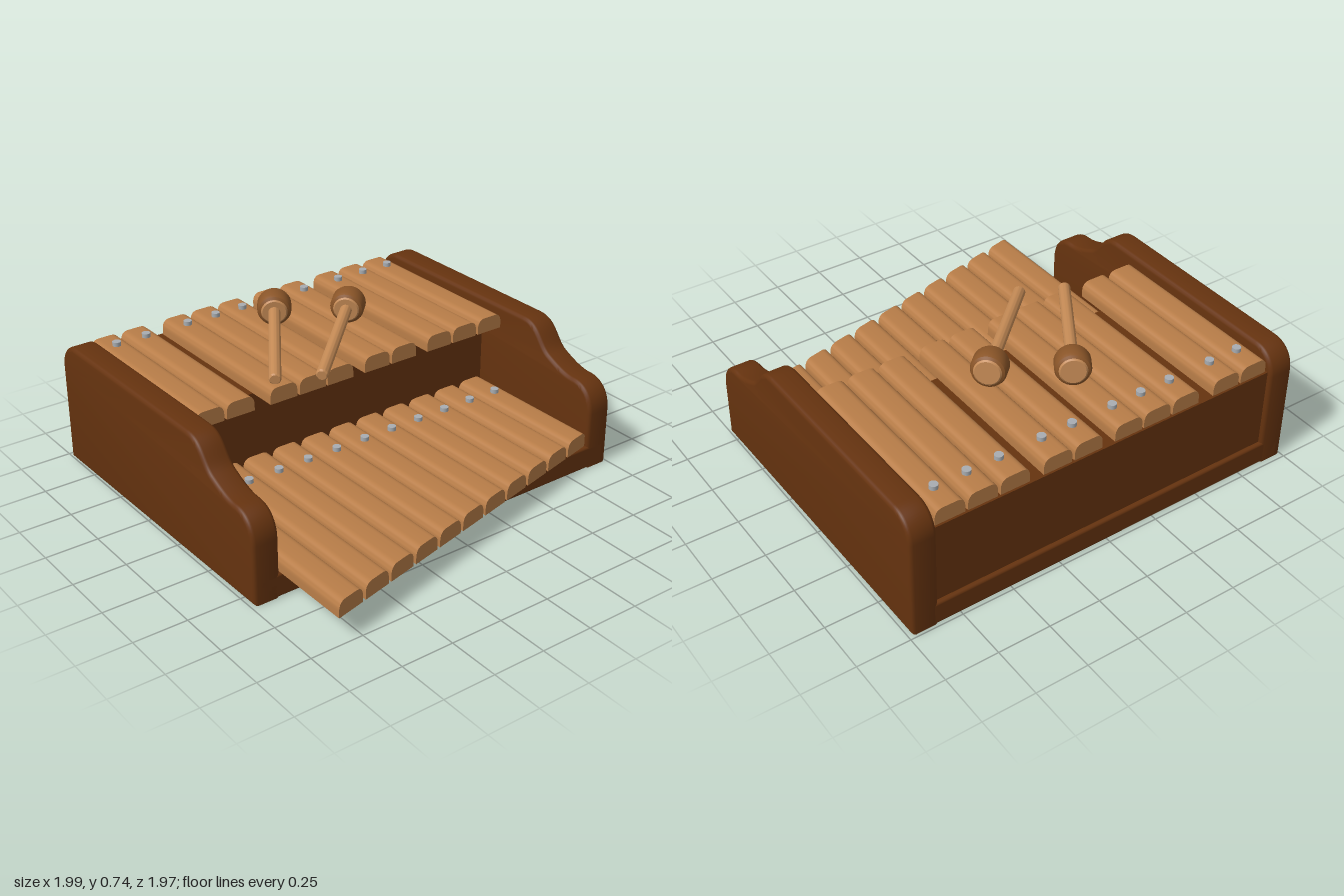
import * as THREE from 'three';
import { toCreasedNormals } from 'three/addons/utils/BufferGeometryUtils.js';
import { RoundedBoxGeometry } from 'three/addons/geometries/RoundedBoxGeometry.js';

const mat = (color) => new THREE.MeshStandardMaterial({ color });

export function createModel() {
  const model = new THREE.Group();
  const darkWood = mat(0x66330f), barWood = mat(0xb87d48);
  const malletWood = mat(0xc48a55), bandWood = mat(0x8a5528), steel = mat(0xa8adb2);

  const add = (parent, name, geometry, material, x = 0, y = 0, z = 0) => {
    const mesh = new THREE.Mesh(geometry, material);
    mesh.name = name;
    mesh.position.set(x, y, z);
    parent.add(mesh);
    return mesh;
  };

  // Side walls: stepped profile drawn as (z, y), extruded across x with soft edges
  const profile = new THREE.Shape();
  profile.moveTo(0.58, 0);
  profile.lineTo(0.58, 0.28);
  profile.bezierCurveTo(0.58, 0.36, 0.53, 0.42, 0.45, 0.42);
  profile.bezierCurveTo(0.39, 0.42, 0.33, 0.45, 0.28, 0.475);
  profile.bezierCurveTo(0.22, 0.51, 0.21, 0.605, 0.1, 0.605);
  profile.lineTo(-0.86, 0.605);
  profile.bezierCurveTo(-0.93, 0.605, -0.98, 0.55, -0.98, 0.48);
  profile.lineTo(-0.98, 0);
  profile.closePath();
  const bevel = 0.018, wall = 0.127;
  const wallGeo = toCreasedNormals(new THREE.ExtrudeGeometry(profile, {
    depth: wall - 2 * bevel, bevelEnabled: true, bevelThickness: bevel, bevelSize: bevel,
    bevelOffset: -bevel, bevelSegments: 3, curveSegments: 14,
  }).translate(0, 0, bevel - wall / 2).rotateY(-Math.PI / 2), 0.6);
  // the rotation maps profile x to +z
  for (const s of [-1, 1]) add(model, s > 0 ? 'leftWall' : 'rightWall', wallGeo, darkWood, s * 0.928);

  // Base slab and the raised block behind the lower row
  add(model, 'base', new RoundedBoxGeometry(1.94, 0.112, 1.56, 3, 0.012), darkWood, 0, 0.056, -0.2);
  add(model, 'raisedBlock', new THREE.BoxGeometry(1.75, 0.42, 0.78), darkWood, 0, 0.292, -0.57);

  // Tone bars: rounded-top section, front end cut at a slant
  const barGeometry = (x, z0, zEnd, slope) => {
    const w = 0.071, h = 0.075;
    const s = new THREE.Shape();
    s.moveTo(-w, 0);
    s.lineTo(w, 0);
    s.lineTo(w, 0.03);
    s.bezierCurveTo(w, 0.058, 0.058, h, 0.032, h);
    s.lineTo(-0.032, h);
    s.bezierCurveTo(-0.058, h, -w, 0.058, -w, 0.03);
    s.closePath();
    const g = new THREE.ExtrudeGeometry(s, { depth: 1, bevelEnabled: false, curveSegments: 7 });
    const p = g.attributes.position;
    for (let i = 0; i < p.count; i++) {
      const end = zEnd + slope * (x + p.getX(i));
      p.setZ(i, p.getZ(i) > 0.5 ? end : z0);
    }
    return toCreasedNormals(g, 0.6);
  };
  const screwGeo = new THREE.CylinderGeometry(0.02, 0.02, 0.04, 16);
  const addBar = (row, x, y, z0, zEnd, slope, screwZ) => {
    add(row, 'toneBar', barGeometry(x, z0, zEnd, slope), barWood, x, y, 0);
    add(row, 'screw', screwGeo, steel, x, y + 0.075, screwZ);
  };

  const lowerRow = new THREE.Group();
  lowerRow.name = 'lowerBars';
  for (let i = 0; i < 11; i++) addBar(lowerRow, -0.787 + i * 0.1585, 0.112, -0.18, 0.768, -0.24, 0.002);

  const upperRow = new THREE.Group();
  upperRow.name = 'upperBars';
  for (const x of [-0.785, -0.63, -0.405, -0.25, -0.098, 0.11, 0.265, 0.475, 0.63, 0.785])
    addBar(upperRow, x, 0.502, -0.95, -0.04, 0, -0.835);
  model.add(lowerRow, upperRow);

  // Mallets: handle along local y, head coaxial at the far end
  const lathe = (pts) => toCreasedNormals(
    new THREE.LatheGeometry(pts.map(([r, y]) => new THREE.Vector2(r, y)), 32), 0.5);
  const addMallet = (from, to) => {
    const a = new THREE.Vector3(...from), dir = new THREE.Vector3(...to).sub(a);
    const L = dir.length();
    const mallet = new THREE.Group();
    mallet.name = 'mallet';
    add(mallet, 'handle', lathe([[0, 0], [0.022, 0], [0.028, 0.008], [0.028, L]]), malletWood);
    add(mallet, 'headBand', lathe([[0.062, -0.052], [0.074, -0.045], [0.08, -0.03],
      [0.08, 0.03], [0.074, 0.045], [0.062, 0.052]]), bandWood, 0, L);
    add(mallet, 'headCore', lathe([[0, -0.058], [0.055, -0.058], [0.063, -0.05],
      [0.063, 0.05], [0.055, 0.058], [0, 0.058]]), malletWood, 0, L);
    mallet.position.copy(a);
    mallet.quaternion.setFromUnitVectors(new THREE.Vector3(0, 1, 0), dir.normalize());
    model.add(mallet);
  };
  addMallet([-0.44, 0.608, -0.055], [-0.07, 0.662, -0.6]);
  addMallet([-0.255, 0.608, 0.035], [0.222, 0.662, -0.412]);

  // The instrument sits very slightly turned
  model.rotation.y = 0.0075;
  return model;
}
